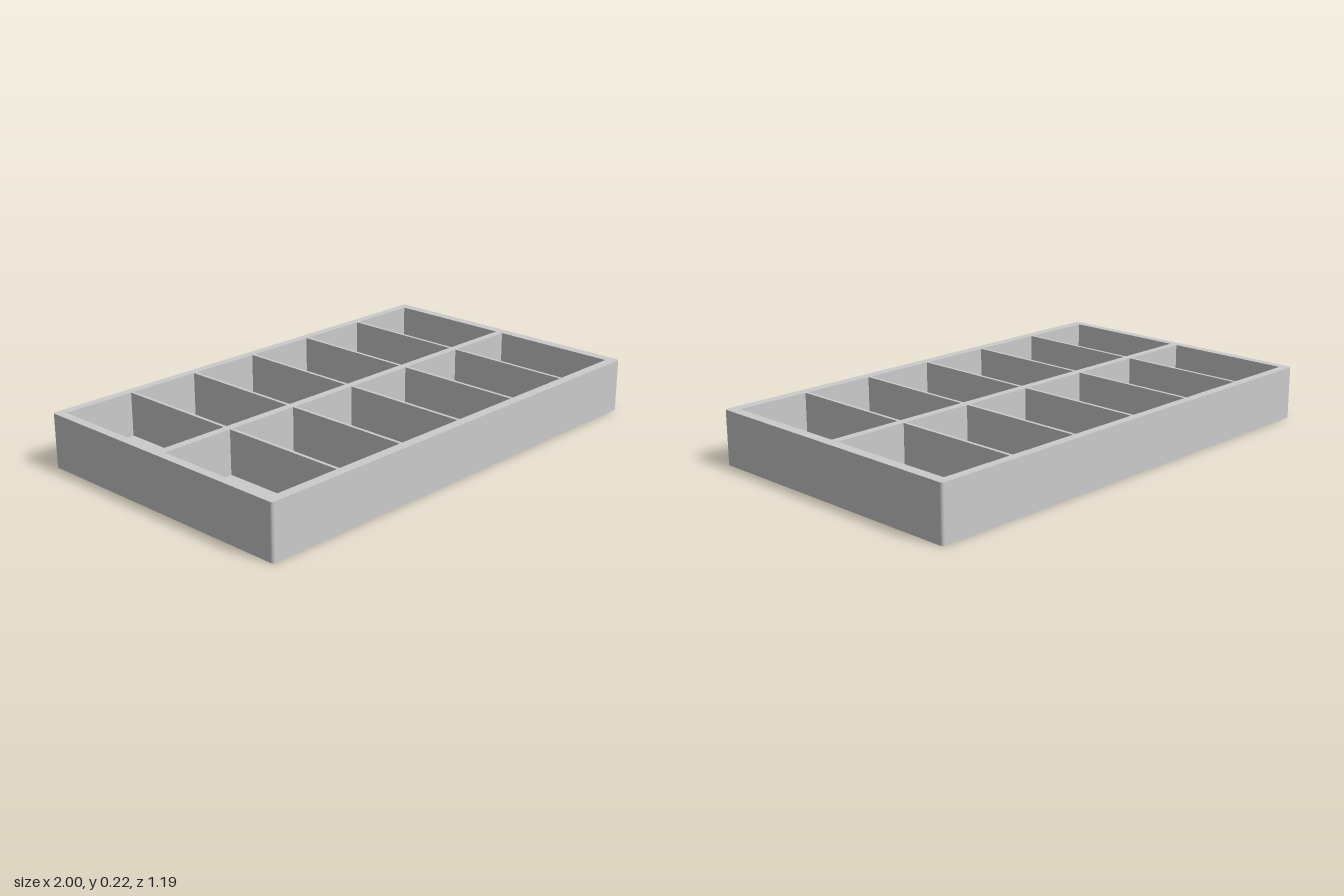
import * as THREE from 'three';

const W = 1.995, D = 1.192, H = 0.22, FLOOR = 0.04, CORNER = 0.012;

// outer footprint with slightly softened corners
function footprint() {
  const x = W / 2, y = D / 2, r = CORNER, s = new THREE.Shape();
  s.absarc(x - r, y - r, r, 0, Math.PI / 2);
  s.absarc(-x + r, y - r, r, Math.PI / 2, Math.PI);
  s.absarc(-x + r, -y + r, r, Math.PI, Math.PI * 1.5);
  s.absarc(x - r, -y + r, r, Math.PI * 1.5, Math.PI * 2);
  s.closePath();
  return s;
}

// rectangular opening; shape y becomes -z once the slab is laid flat
function opening(x0, x1, z0, z1) {
  return new THREE.Path([
    new THREE.Vector2(x0, -z1), new THREE.Vector2(x1, -z1),
    new THREE.Vector2(x1, -z0), new THREE.Vector2(x0, -z0),
  ]);
}

// horizontal slab between two heights
function slab(name, shape, y0, y1, material) {
  const geometry = new THREE.ExtrudeGeometry(shape, {
    depth: y1 - y0, bevelEnabled: false, curveSegments: 4,
  });
  const mesh = new THREE.Mesh(geometry, material);
  mesh.name = name;
  mesh.rotation.x = -Math.PI / 2;
  mesh.position.y = y0;
  return mesh;
}

export function createModel() {
  const tray = new THREE.Group();
  tray.name = 'dividedTray';
  const material = new THREE.MeshStandardMaterial({ color: 0xcccccc });

  // solid floor
  tray.add(slab('floor', footprint(), 0, FLOOR, material));

  // rim and dividers: one slab pierced by two rows of six compartments
  const walls = footprint();
  const left = -0.961, right = 0.955, columns = 6, divider = 0.014;
  const pitch = (right - left + divider) / columns;
  const rows = [[-0.56, -0.02], [0.014, 0.555]]; // z ranges, back and front
  for (const [z0, z1] of rows) {
    for (let i = 0; i < columns; i++) {
      const x0 = left + i * pitch;
      walls.holes.push(opening(x0, x0 + pitch - divider, z0, z1));
    }
  }
  tray.add(slab('rimAndDividers', walls, FLOOR, H, material));

  return tray;
}
